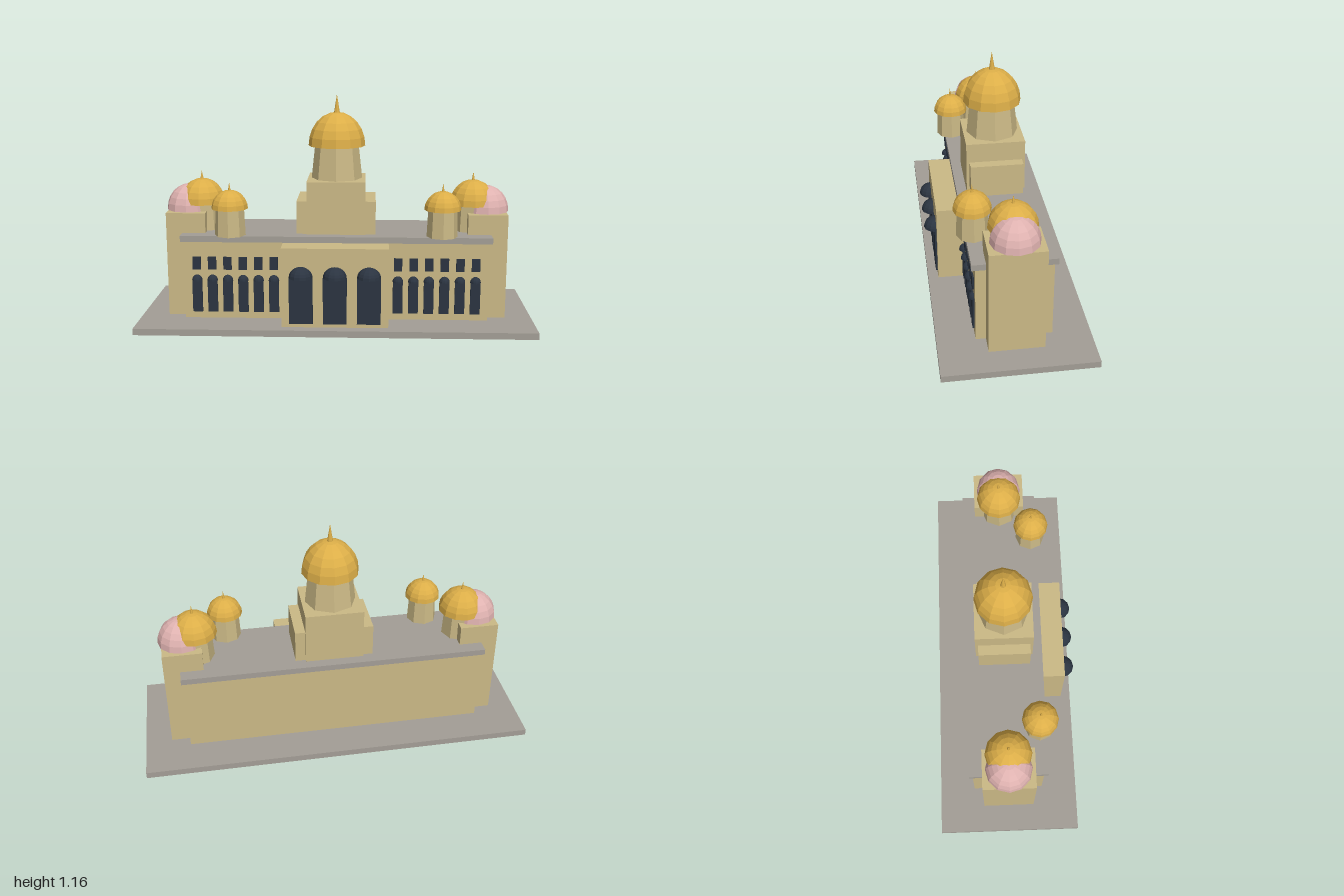
import * as THREE from 'three';

function material(name, color, extra = {}) {
  const m = new THREE.MeshStandardMaterial({ color, ...extra });
  m.name = name;
  return m;
}

export function createModel() {
  const model = new THREE.Group();
  model.name = 'domedPalace';

  const faceted = { flatShading: true };
  const open = { flatShading: true, side: THREE.DoubleSide };
  const sand = material('sandstone', 0xcbb986, faceted);
  const gray = material('grayStone', 0xa39e96, faceted);
  const gold = material('gold', 0xdcae48, open);
  const pink = material('pinkDome', 0xdfb2b0, open);
  const glass = material('darkGlass', 0x2b3441, open);

  function add(name, geometry, mat, x, y, z) {
    const mesh = new THREE.Mesh(geometry, mat);
    mesh.name = name;
    mesh.position.set(x, y, z);
    model.add(mesh);
    return mesh;
  }

  // Box given by centre x, bottom and top heights, and back and front depths
  function block(name, mat, x, width, y0, y1, z0, z1) {
    return add(name, new THREE.BoxGeometry(width, y1 - y0, z1 - z0), mat,
      x, (y0 + y1) / 2, (z0 + z1) / 2);
  }

  // Open half sphere stretched to the given height
  function dome(name, mat, x, y, z, radius, height, segments = 12) {
    const g = new THREE.SphereGeometry(radius, segments, 6, 0, Math.PI * 2, 0, Math.PI / 2);
    g.scale(1, height / radius, 1);
    return add(name, g, mat, x, y, z);
  }

  // Eight-sided tapered drum with a dome and a spire
  function cupola(name, x, z, o) {
    add(name + 'Drum', new THREE.CylinderGeometry(o.drumTop, o.drumBottom, o.domeY - o.y, 8),
      sand, x, (o.y + o.domeY) / 2, z);
    dome(name + 'Dome', gold, x, o.domeY, z, o.radius, o.domeTop - o.domeY);
    const foot = o.domeTop - 0.01;
    add(name + 'Spire', new THREE.ConeGeometry(o.spire, o.tip - foot, 8),
      gold, x, (foot + o.tip) / 2, z);
  }

  // Arched opening: thin plate with a half-dome hood
  function archedOpening(name, x, width, y0, y1, wallZ, hoodRadius, hoodHeight) {
    block(name, glass, x, width, y0, y1, wallZ, wallZ + 0.009);
    dome(name + 'Hood', glass, x, y1, wallZ, hoodRadius, hoodHeight);
  }

  // Terrace, main hall, roof and entrance block
  block('terrace', gray, 0, 2, 0, 0.033, -0.367, 0.367);
  block('mainHall', sand, 0, 1.54, 0.033, 0.436, -0.184, 0.182);
  block('roofSlab', gray, 0, 1.568, 0.436, 0.467, -0.2, 0.2);
  block('entranceBlock', sand, 0, 0.53, 0.033, 0.436, 0.1, 0.315);

  // Central tower
  block('towerBase', sand, 0, 0.4, 0.467, 0.635, -0.133, 0.133);
  block('towerBody', sand, 0, 0.296, 0.467, 0.735, -0.148, 0.148);
  cupola('centralCupola', 0, 0, {
    y: 0.735, domeY: 0.902, domeTop: 1.073, tip: 1.163,
    drumBottom: 0.13, drumTop: 0.112, radius: 0.145, spire: 0.016,
  });

  // Entrance arches
  for (const x of [-0.168, 0, 0.168]) {
    archedOpening('entranceArch', x, 0.118, 0.053, 0.289, 0.315, 0.059, 0.055);
  }

  for (const side of [-1, 1]) {
    // End pavilions with pink domes
    block('endPavilion', sand, side * 0.766, 0.2, 0.033, 0.569, -0.133, 0.133);
    dome('pavilionDome', pink, side * 0.766, 0.569, 0, 0.118, 0.131);

    // Gold side cupolas
    cupola('largeCupola', side * 0.7, 0, {
      y: 0.467, domeY: 0.604, domeTop: 0.728, tip: 0.768,
      drumBottom: 0.097, drumTop: 0.09, radius: 0.118, spire: 0.01,
    });
    cupola('smallCupola', side * 0.533, 0.165, {
      y: 0.467, domeY: 0.604, domeTop: 0.697, tip: 0.738,
      drumBottom: 0.078, drumTop: 0.072, radius: 0.092, spire: 0.008,
    });

    // Two rows of windows on each wing
    for (let i = 0; i < 6; i++) {
      const x = side * (0.314 + i * 0.0782);
      archedOpening('archedWindow', x, 0.05, 0.068, 0.232, 0.182, 0.027, 0.03);
      block('upperWindow', glass, x, 0.042, 0.29, 0.356, 0.182, 0.19);
    }
  }

  return model;
}
